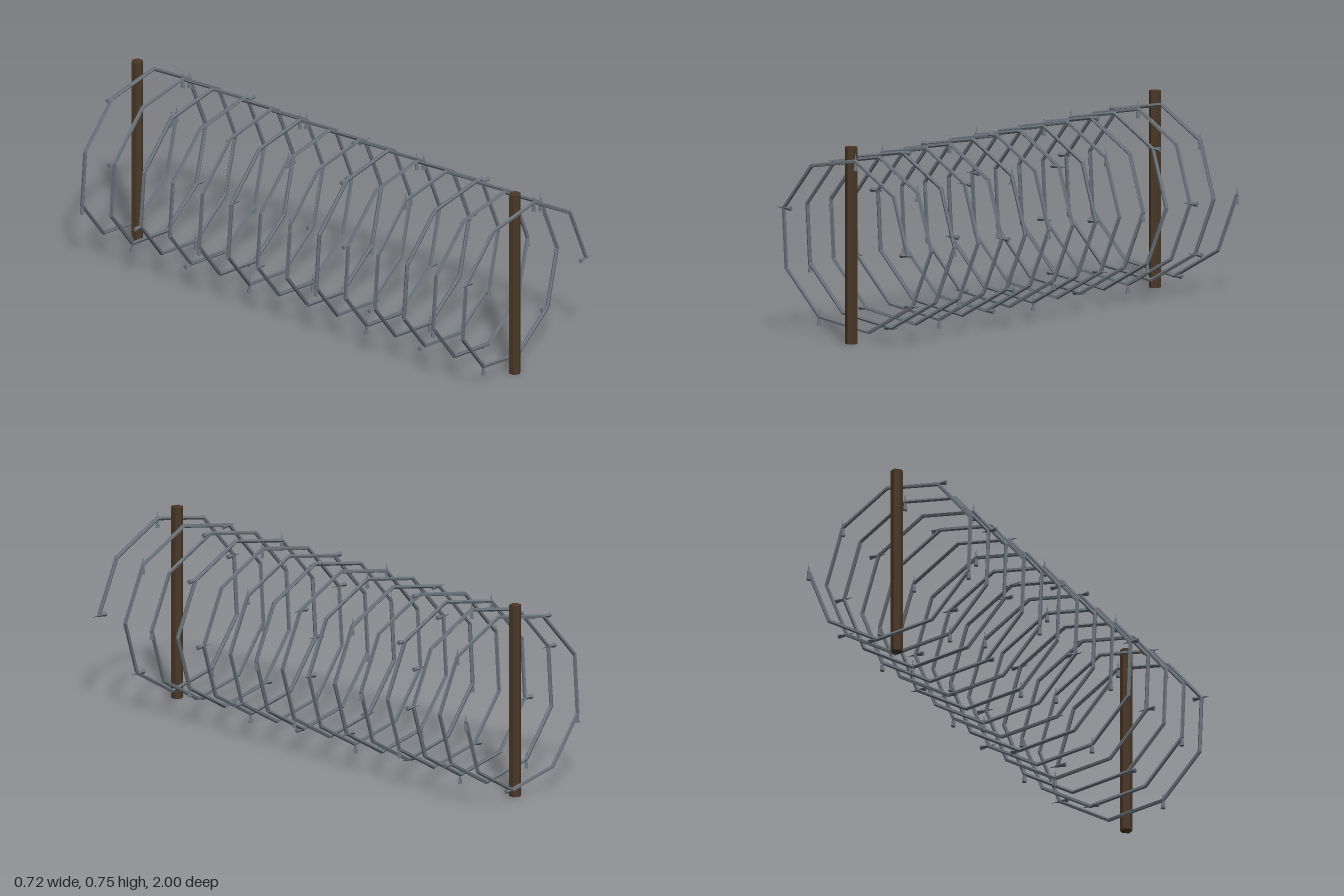
import * as THREE from 'three';

const TURNS = 14, SIDES = 9, STEPS = TURNS * SIDES;
const CX = -0.011, CY = 0.377, RADIUS = 0.337, HALF = 0.9895;

// Horizontal helix running from back to front
class Helix extends THREE.Curve {
  getPoint(t, target = new THREE.Vector3()) {
    const a = -t * TURNS * Math.PI * 2;
    return target.set(CX + RADIUS * Math.cos(a), CY + RADIUS * Math.sin(a), HALF * (2 * t - 1));
  }
  // the helix has constant speed, so arc length equals the parameter
  getPointAt(t, target) { return this.getPoint(t, target); }
  getTangentAt(t, target) { return this.getTangent(t, target); }
}

export function createModel() {
  const model = new THREE.Group();
  const steel = new THREE.MeshStandardMaterial({ color: 0x6a7278, flatShading: true });
  steel.name = 'steel grey';
  const wood = new THREE.MeshStandardMaterial({ color: 0x4a3828, flatShading: true });
  wood.name = 'dark wood';

  // Coiled wire, nine straight runs per turn
  const helix = new Helix();
  const wire = new THREE.Mesh(new THREE.TubeGeometry(helix, STEPS, 0.008, 5, false), steel);
  wire.material.side = THREE.DoubleSide;
  wire.name = 'coiledWire';
  model.add(wire);

  // Barbs on every second bend, pointing up, right, up, left in turn
  const barbs = new THREE.Group();
  barbs.name = 'barbs';
  const spike = new THREE.ConeGeometry(0.0105, 0.07, 4);
  const rolls = [0, Math.PI / 2, 0, -Math.PI / 2];
  for (let n = 0; n * 2 <= STEPS; n++) {
    const barb = new THREE.Mesh(spike, steel);
    barb.name = 'barb';
    helix.getPoint((n * 2) / STEPS, barb.position);
    barb.rotation.z = rolls[n % 4];
    barbs.add(barb);
  }
  model.add(barbs);

  // Six-sided posts near both ends
  const postShape = new THREE.CylinderGeometry(0.0235, 0.0235, 0.754, 6);
  for (const [name, z] of [['frontPost', 0.912], ['backPost', -0.912]]) {
    const post = new THREE.Mesh(postShape, wood);
    post.name = name;
    post.position.set(CX, 0.377, z);
    model.add(post);
  }
  return model;
}
